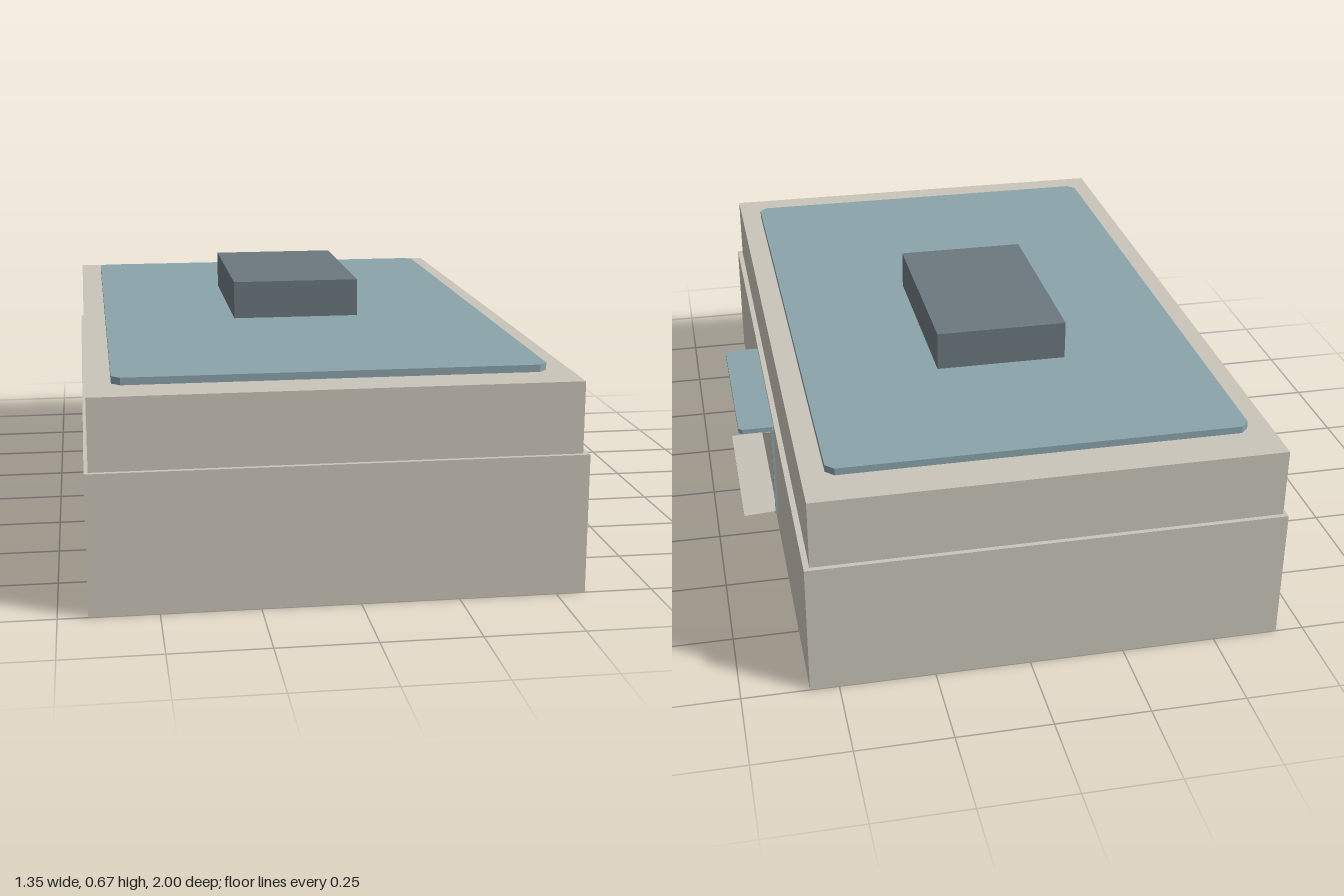
import * as THREE from 'three';

export function createModel() {
  const model = new THREE.Group();
  const mat = (name, color) => {
    const m = new THREE.MeshStandardMaterial({ color });
    m.name = name;
    return m;
  };
  const beige = mat('beige wall', 0xcac5ba);
  const blue = mat('blue grey', 0x8aa3ab);
  const slate = mat('dark slate', 0x6b787e);

  const add = (name, geometry, material) => {
    const mesh = new THREE.Mesh(geometry, material);
    mesh.name = name;
    model.add(mesh);
    return mesh;
  };

  // Box given by its limits on each axis
  const box = (name, material, x0, x1, y0, y1, z0, z1) =>
    add(name, new THREE.BoxGeometry(x1 - x0, y1 - y0, z1 - z0), material)
      .position.set((x0 + x1) / 2, (y0 + y1) / 2, (z0 + z1) / 2);

  // Horizontal plate, symmetric in z, with cut corners on the chosen sides
  const plate = (name, material, x0, x1, y0, y1, zHalf, cutLeft, cutRight) => {
    const a = cutLeft, b = cutRight;
    const corners = [
      [x0 + a, -zHalf], [x1 - b, -zHalf], [x1, -zHalf + b], [x1, zHalf - b],
      [x1 - b, zHalf], [x0 + a, zHalf], [x0, zHalf - a], [x0, -zHalf + a],
    ];
    const shape = new THREE.Shape(corners.map(([x, z]) => new THREE.Vector2(x, z)));
    const geo = new THREE.ExtrudeGeometry(shape, { depth: y1 - y0, bevelEnabled: false });
    geo.rotateX(-Math.PI / 2);
    add(name, geo, material).position.y = y0;
  };

  // Building body in two storeys
  box('lowerStorey', beige, -0.675, 0.575, 0, 0.363, -1, 1);
  box('upperStorey', beige, -0.665, 0.56, 0.363, 0.548, -0.987, 0.987);

  // Roof covering and rooftop unit
  plate('roofPlate', blue, -0.602, 0.498, 0.548, 0.567, 0.872, 0.022, 0.022);
  box('roofUnit', slate, -0.232, 0.128, 0.567, 0.673, -0.403, 0.16);

  // Entrance on the +x side: canopy, door panel, lintel and jambs
  plate('entranceCanopy', blue, 0.574, 0.674, 0.336, 0.35, 0.252, 0.006, 0.01);
  box('doorPanel', beige, 0.574, 0.578, 0.055, 0.336, -0.238, 0.238);
  box('doorLintel', beige, 0.574, 0.598, 0.324, 0.336, -0.238, 0.238);
  for (const side of [-1, 1]) {
    const z = side * 0.242;
    box('doorJamb', blue, 0.574, 0.583, 0.055, 0.336, z - 0.004, z + 0.004);
  }

  // Entrance step, slightly thinner at its outer edge
  const profile = new THREE.Shape([
    new THREE.Vector2(0.574, 0.051), new THREE.Vector2(0.674, 0.051),
    new THREE.Vector2(0.674, 0.054), new THREE.Vector2(0.574, 0.06),
  ]);
  const step = new THREE.ExtrudeGeometry(profile, { depth: 0.476, bevelEnabled: false });
  step.translate(0, 0, -0.238);
  add('entranceStep', step, beige);

  return model;
}
